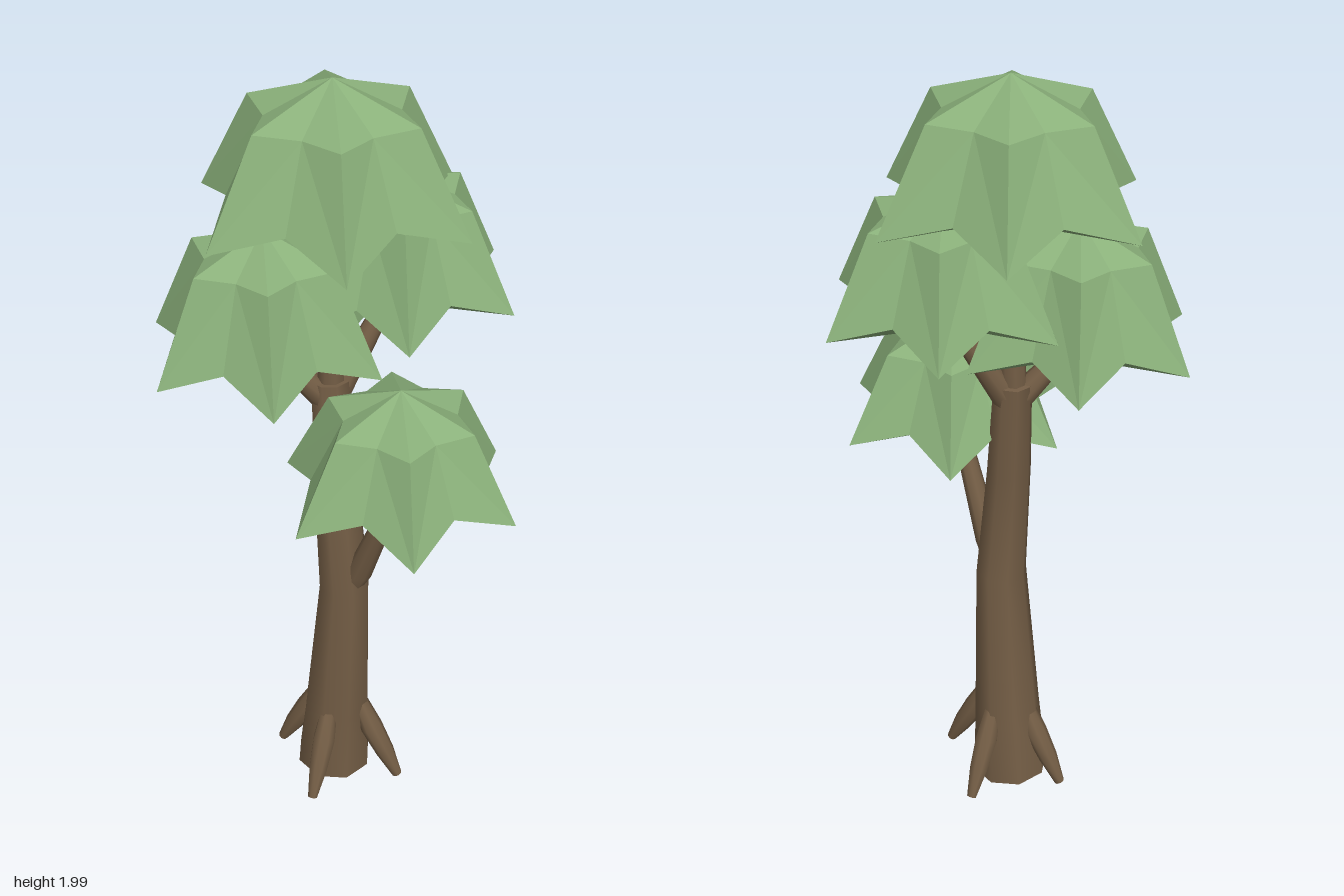
import * as THREE from 'three';

const bark = new THREE.MeshStandardMaterial({ color: 0x735d45 });
bark.name = 'bark brown';
const leaf = new THREE.MeshStandardMaterial({ color: 0x8ab07a, flatShading: true });
leaf.name = 'leaf green';

// Smooth tapered limb: rings across a path of [x, y, z, radius], with flat caps
function limb(name, path, sides = 8) {
  const pts = path.map(p => new THREE.Vector3(p[0], p[1], p[2]));
  const pos = [], idx = [];
  const ring = k => {
    const t = pts[Math.min(k + 1, pts.length - 1)].clone().sub(pts[Math.max(k - 1, 0)]).normalize();
    const q = new THREE.Quaternion().setFromUnitVectors(new THREE.Vector3(0, 1, 0), t);
    for (let i = 0; i < sides; i++) {
      const a = (i / sides) * Math.PI * 2, r = path[k][3];
      const v = new THREE.Vector3(Math.cos(a) * r, 0, -Math.sin(a) * r).applyQuaternion(q).add(pts[k]);
      pos.push(v.x, v.y, v.z);
    }
  };
  for (let k = 0; k < path.length; k++) {
    ring(k);
    if (k === 0) continue;
    for (let i = 0; i < sides; i++) {
      const j = (i + 1) % sides, lo = (k - 1) * sides, hi = k * sides;
      idx.push(hi + i, lo + i, lo + j, hi + i, lo + j, hi + j);
    }
  }
  // Caps have their own vertices so that the rim stays sharp
  const bottom = pos.length / 3;
  ring(0);
  const top = pos.length / 3;
  ring(path.length - 1);
  for (let i = 1; i < sides - 1; i++) {
    idx.push(bottom, bottom + i + 1, bottom + i, top, top + i, top + i + 1);
  }
  const g = new THREE.BufferGeometry();
  g.setAttribute('position', new THREE.Float32BufferAttribute(pos, 3));
  g.setIndex(idx);
  g.computeVertexNormals();
  const mesh = new THREE.Mesh(g, bark);
  mesh.name = name;
  return mesh;
}

// Six-pointed leaf cap: apex, shoulder ring, star rim and shallow underside
function canopy(name, x, z, radius, topY, shoulderY, tipY, baseY) {
  const n = 12, pos = [];
  const point = (i, tipR, notchR, tip, notch) => {
    const a = (i / n) * Math.PI * 2, odd = i % 2, r = radius * (odd ? notchR : tipR);
    return [x + Math.cos(a) * r, odd ? notch : tip, z - Math.sin(a) * r];
  };
  const shoulder = i => point(i, 0.62, 0.45, shoulderY, shoulderY - 0.005);
  const rim = i => point(i, 1, 0.71, tipY, tipY + 0.055);
  const apex = [x, topY, z], base = [x, baseY, z];
  for (let i = 0; i < n; i++) {
    const s0 = shoulder(i), s1 = shoulder(i + 1), r0 = rim(i), r1 = rim(i + 1);
    pos.push(...apex, ...s0, ...s1);
    // Split each side panel along the same diagonal on both sides of a tip
    if (i % 2) pos.push(...s0, ...r0, ...r1, ...s0, ...r1, ...s1);
    else pos.push(...s0, ...r0, ...s1, ...r0, ...r1, ...s1);
    pos.push(...base, ...r1, ...r0);
  }
  const g = new THREE.BufferGeometry();
  g.setAttribute('position', new THREE.Float32BufferAttribute(pos, 3));
  g.computeVertexNormals();
  const mesh = new THREE.Mesh(g, leaf);
  mesh.name = name;
  return mesh;
}

export function createModel() {
  const tree = new THREE.Group();
  tree.name = 'tree';

  tree.add(limb('trunk', [
    [-0.04, 0.012, 0.03, 0.1],
    [-0.028, 0.22, 0.032, 0.087],
    [0, 0.65, 0.045, 0.065],
    [-0.03, 0.98, 0.03, 0.055],
    [-0.048, 1.24, 0.015, 0.047],
  ]));

  // Branches reaching each canopy
  tree.add(limb('lowBranch', [[0.01, 0.64, 0.045, 0.03], [0.05, 0.72, 0.06, 0.032], [0.165, 1.03, 0.1, 0.02]]));
  tree.add(limb('leftBranch', [[-0.05, 1.18, 0.02, 0.035], [-0.165, 1.34, 0.1, 0.02]]));
  tree.add(limb('backBranch', [[-0.045, 1.18, 0.01, 0.035], [0.06, 1.45, -0.105, 0.02]]));
  tree.add(limb('topBranch', [[-0.048, 1.2, 0.015, 0.035], [-0.04, 1.68, 0.01, 0.022]]));

  // Four flared roots around the foot of the trunk
  for (let i = 0; i < 4; i++) {
    const a = (i * Math.PI) / 2, c = Math.cos(a), s = Math.sin(a);
    const at = (d, y, r) => [-0.022 + c * d, y, 0.032 + s * d, r];
    tree.add(limb('root', [at(0.172, 0.012, 0.013), at(0.135, 0.085, 0.025), at(0.095, 0.16, 0.03), at(0.06, 0.24, 0.022)]));
  }

  tree.add(canopy('topCanopy', -0.04, 0.01, 0.33, 2.0, 1.925, 1.68, 1.65));
  tree.add(canopy('leftCanopy', -0.17, 0.1, 0.292, 1.655, 1.59, 1.335, 1.295));
  tree.add(canopy('backCanopy', 0.06, -0.105, 0.295, 1.735, 1.69, 1.45, 1.41));
  tree.add(canopy('lowCanopy', 0.168, 0.1, 0.292, 1.32, 1.25, 1.027, 0.99));
  return tree;
}
